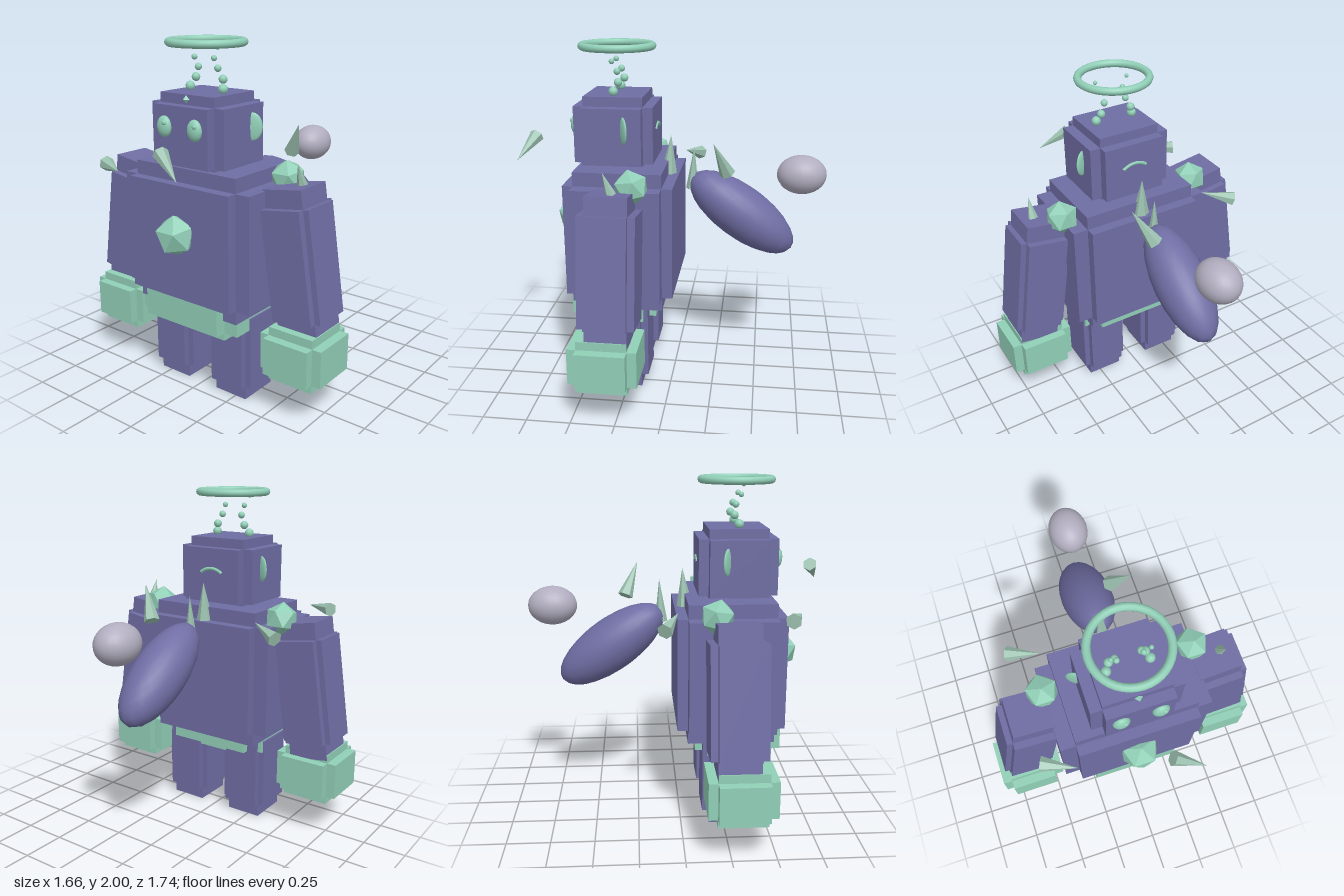
import * as THREE from 'three';

const mat = (name, color, flatShading = false) => {
  const m = new THREE.MeshStandardMaterial({ color, flatShading });
  m.name = name;
  return m;
};

export function createModel() {
  const root = new THREE.Group();
  root.name = 'robot';
  const purple = mat('purple', 0x6f6da3);
  const green = mat('mint green', 0x91cfb7);
  const gemGreen = mat('faceted mint green', 0x91cfb7, true);
  const sage = mat('sage', 0x9cc2b0, true);
  const grey = mat('lilac grey', 0xb2aec0);

  const add = (name, geo, material, pos, parent = root) => {
    const m = new THREE.Mesh(geo, material);
    m.name = name;
    m.position.set(...pos);
    parent.add(m);
    return m;
  };

  // Stepped block: a core box extended along each axis in turn
  const block = (name, material, pos, core, ext) => {
    const g = new THREE.Group();
    g.name = name;
    g.position.set(...pos);
    for (let a = 0; a < 3; a++) {
      const size = core.map((c, i) => (i === a ? c + 2 * ext[i] : c));
      add(name + 'Slab', new THREE.BoxGeometry(...size), material, [0, 0, 0], g);
    }
    root.add(g);
    return g;
  };

  const ellipsoid = (name, material, pos, radii, w = 24, h = 16) => {
    const m = add(name, new THREE.SphereGeometry(1, w, h), material, pos);
    m.scale.set(...radii);
    return m;
  };

  // Body blocks
  block('torso', purple, [0, 0.925, 0.285], [0.7, 0.65, 0.495], [0.088, 0.08, 0.06]);
  block('head', purple, [0, 1.505, 0.33], [0.374, 0.32, 0.335], [0.063, 0.055, 0.057]);
  block('pelvis', green, [0, 0.53, 0.335], [0.52, 0.18, 0.37], [0.088, 0.045, 0.065]);

  for (const s of [1, -1]) {
    block('leg', purple, [s * 0.213, 0.295, 0.288], [0.215, 0.43, 0.245], [0.035, 0.08, 0.04]);
    const arm = block('arm', purple, [s * 0.598, 0.874, 0.282], [0.24, 0.61, 0.23], [0.033, 0.1, 0.04]);
    arm.rotation.z = s * 0.148;
    block('hand', green, [s * 0.64, 0.37, 0.305], [0.275, 0.21, 0.275], [0.054, 0.048, 0.052]);

    // Face
    ellipsoid('eye', green, [s * 0.106, 1.55, 0.558], [0.047, 0.058, 0.03]);
    ellipsoid('pupil', green, [s * 0.106 + 0.016, 1.574, 0.58], [0.014, 0.014, 0.01], 12, 8);
    const ear = ellipsoid('ear', green, [s * 0.25, 1.545, 0.262], [0.058, 0.077, 0.014]);
    ear.rotation.y = s * 0.5;

    // Antenna beads: x, y, z, radius
    [[0.115, 1.74, 0.337, 0.027], [0.095, 1.788, 0.312, 0.024], [0.068, 1.845, 0.322, 0.02],
      [0.068, 1.9, 0.352, 0.016], [0.1, 1.957, 0.36, 0.012]].forEach(([x, y, z, r]) =>
      ellipsoid('antennaBead', green, [s * x, y, z], [r, r, r], 12, 8));
  }

  // Halo
  add('halo', new THREE.TorusGeometry(0.2, 0.022, 10, 40).rotateX(Math.PI / 2), green, [0, 1.98, 0.332]);

  // Small forehead stud and the curved mark on the back of the head
  add('foreheadStud', new THREE.OctahedronGeometry(0.022), gemGreen, [0, 1.695, 0.5]);
  const arc = 1.3;
  add('backMark', new THREE.TorusGeometry(0.12, 0.011, 6, 16, arc).rotateZ((Math.PI - arc) / 2),
    green, [0, 1.425, 0.107]);

  // Icosahedron gem turned so that one face looks along +z
  const gem = (r) => {
    const z = new THREE.Vector3(1, 1, 1).normalize();
    const y = new THREE.Vector3(0, 1, (1 + Math.sqrt(5)) / 2).projectOnPlane(z).normalize().negate();
    const x = new THREE.Vector3().crossVectors(y, z);
    return new THREE.IcosahedronGeometry(r).applyMatrix4(new THREE.Matrix4().makeBasis(x, y, z).transpose());
  };
  add('chestGem', gem(0.119), gemGreen, [0, 0.975, 0.603]);
  for (const s of [1, -1]) add('shoulderGem', gem(0.1), gemGreen, [s * 0.438, 1.282, 0.188]);

  // Tail and the ball floating behind it
  const tail = ellipsoid('tail', purple, [0, 1.022, -0.393], [0.155, 0.155, 0.367], 20, 14);
  tail.rotation.x = -0.62;
  ellipsoid('tailBall', grey, [0, 1.263, -0.733], [0.115, 0.113, 0.142]);
  add('tailStud', new THREE.OctahedronGeometry(0.018), gemGreen, [0, 1.18, -0.27]);

  // Spikes: base point, tip point, base radius
  const up = new THREE.Vector3(0, 1, 0);
  [
    [[0.09, 1.475, 0.797], [0.26, 1.365, 0.868], 0.042],
    [[-0.56, 1.285, 0.572], [-0.375, 1.282, 0.656], 0.044],
    [[-0.56, 1.24, -0.1], [-0.385, 1.295, -0.022], 0.044],
    [[0.58, 1.28, 0.268], [0.58, 1.4, 0.312], 0.03],
    [[0, 1.24, 0.04], [0, 1.475, 0.025], 0.05],
    [[0, 1.16, -0.1], [0, 1.412, -0.11], 0.037],
    [[0.12, 1.29, -0.31], [0.22, 1.48, -0.235], 0.046],
  ].forEach(([b, t, r]) => {
    const base = new THREE.Vector3(...b);
    const dir = new THREE.Vector3(...t).sub(base);
    const mid = base.clone().addScaledVector(dir, 0.5);
    const spike = add('spike', new THREE.ConeGeometry(r, dir.length(), 6), sage, mid.toArray());
    spike.quaternion.setFromUnitVectors(up, dir.normalize());
  });

  return root;
}
